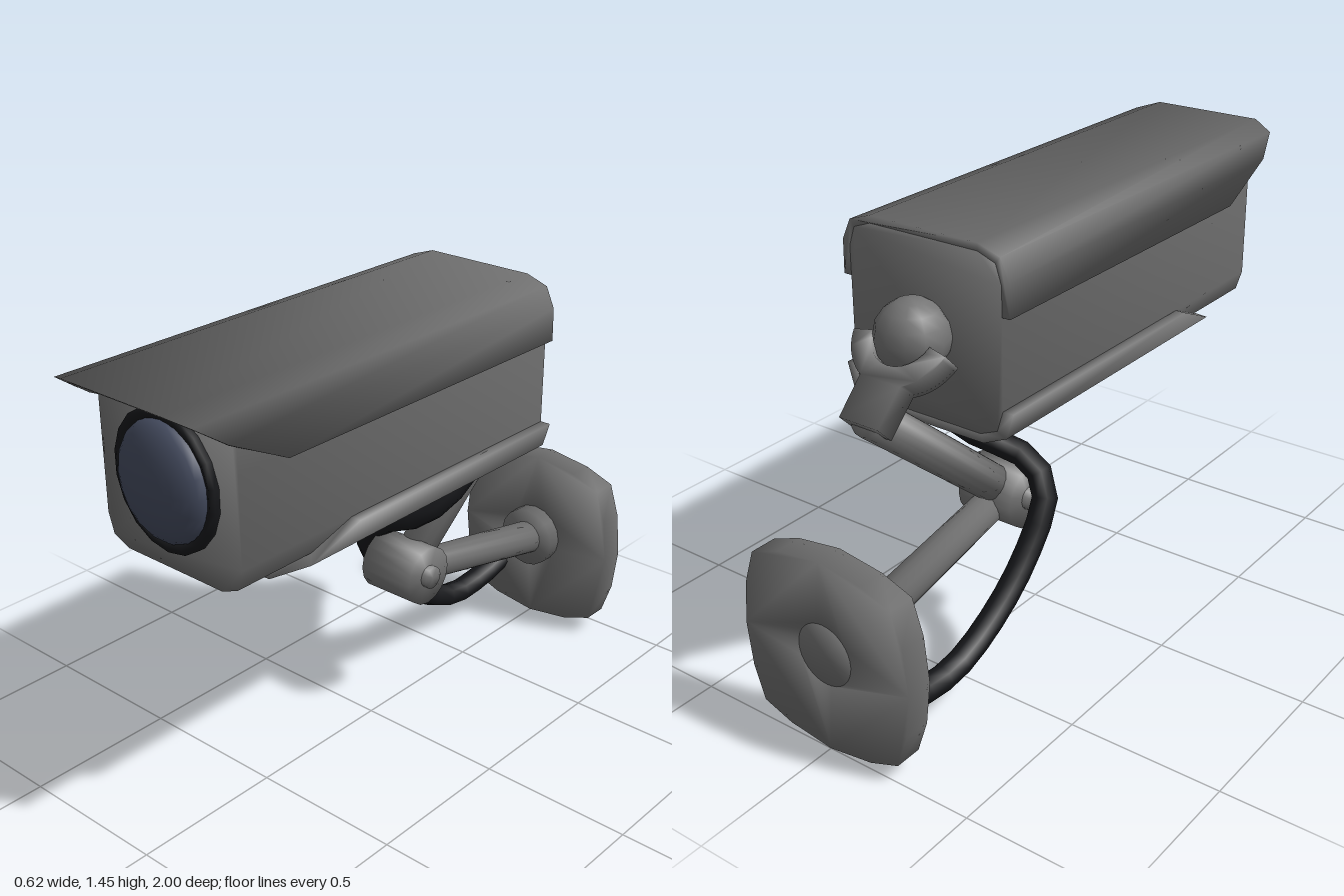
import * as THREE from 'three';

const paint = (color) => new THREE.MeshStandardMaterial({ color, side: THREE.DoubleSide });
const grey = paint(0x757575);
const black = paint(0x17181b);
const blue = paint(0x454c60);

// Smooth normals over all edges, each face weighted by its corner angle
function smooth(geometry) {
  const g = geometry.index ? geometry.toNonIndexed() : geometry;
  const p = g.attributes.position;
  const sums = new Map();
  const at = (i) => new THREE.Vector3().fromBufferAttribute(p, i);
  const key = (v) => v.toArray().map((n) => Math.round(n * 1e4)).join();
  for (let i = 0; i < p.count; i += 3) {
    const tri = [at(i), at(i + 1), at(i + 2)];
    const normal = new THREE.Triangle(...tri).getNormal(new THREE.Vector3());
    tri.forEach((v, k) => {
      const a = tri[(k + 1) % 3].clone().sub(v);
      const b = tri[(k + 2) % 3].clone().sub(v);
      if (!sums.has(key(v))) sums.set(key(v), new THREE.Vector3());
      if (normal.lengthSq() > 0) sums.get(key(v)).addScaledVector(normal, a.angleTo(b));
    });
  }
  for (let i = 0; i < p.count; i++) {
    const n = sums.get(key(at(i))).clone().normalize();
    g.attributes.normal.setXYZ(i, n.x, n.y, n.z);
  }
  return g;
}

export function createModel() {
  const model = new THREE.Group();

  const add = (name, geometry, material = grey) => {
    const mesh = new THREE.Mesh(smooth(geometry), material);
    mesh.name = name;
    model.add(mesh);
    return mesh;
  };

  // Cylinder between two points
  const rod = (name, a, b, r0, r1 = r0, sides = 16) => {
    const from = new THREE.Vector3(...a);
    const dir = new THREE.Vector3(...b).sub(from);
    const mesh = add(name, new THREE.CylinderGeometry(r1, r0, dir.length(), sides));
    mesh.position.copy(from).addScaledVector(dir, 0.5);
    mesh.quaternion.setFromUnitVectors(new THREE.Vector3(0, 1, 0), dir.normalize());
    return mesh;
  };

  // Half outline (right side) mirrored to a full open outline, right to left
  const mirror = (half) => [...half, ...half.map(([x, y]) => [-x, y]).reverse()];
  const shapeOf = (points) => new THREE.Shape(points.map(([x, y]) => new THREE.Vector2(x, y)));

  // Prism along z whose front end is cut by a rule z = frontZ(y)
  const prism = (shape, back, frontZ) => {
    const g = new THREE.ExtrudeGeometry(shape, { depth: 1, bevelEnabled: false, curveSegments: 16 });
    const p = g.attributes.position;
    for (let i = 0; i < p.count; i++) p.setZ(i, p.getZ(i) > 0.5 ? frontZ(p.getY(i)) : back);
    return g;
  };
  const lerp = THREE.MathUtils.mapLinear;

  // Housing
  const roof = [[0.27, 1.25], [0.27, 1.34], [0.25, 1.4], [0.19, 1.422]];
  const floor = [[0.19, 0.88], [0.25, 0.905], [0.27, 0.97]];
  add('housing', prism(shapeOf(mirror([...floor, ...roof])), -0.52, () => 0.82));

  // Sun hood wrapped over the housing, with a raked front
  const hoodOuter = [[0.297, 1.25], [0.295, 1.355], [0.265, 1.42], [0.19, 1.445]];
  add('hood', prism(shapeOf([...mirror(hoodOuter), ...mirror(roof).reverse()]), -0.52,
    (y) => (y > 1.32 ? lerp(y, 1.32, 1.445, 0.82, 1) : lerp(y, 1.25, 1.32, 0.66, 0.82))));

  // Tray wrapped under the housing
  const trayOuter = [[0.305, 0.97], [0.282, 0.89], [0.2, 0.853]];
  const trayInner = [...floor].reverse();
  add('tray', prism(shapeOf([...mirror(trayOuter), ...mirror(trayInner).reverse()]), -0.52,
    (y) => lerp(y, 0.853, 0.97, 0.655, 0.39)));

  // Lens and its rim
  const rimProfile = [[0.17, 0.81], [0.2, 0.81], [0.2, 0.838], [0.185, 0.845], [0.17, 0.838], [0.17, 0.81]];
  const rim = add('lensRim',
    new THREE.LatheGeometry(rimProfile.map(([r, h]) => new THREE.Vector2(r, h)), 18).rotateX(Math.PI / 2), black);
  rim.scale.y = 1.06;
  rim.position.y = 1.152;
  const lens = add('lens', new THREE.SphereGeometry(1, 18, 8, 0, Math.PI * 2, 0, Math.PI / 2).rotateX(Math.PI / 2), blue);
  lens.scale.set(0.172, 0.182, 0.08);
  lens.position.set(0, 1.152, 0.83);

  // Ball joint held by a forked cradle
  add('ball', new THREE.SphereGeometry(0.113, 12, 8)).position.set(0, 1.15, -0.575);
  const tip = 0.2;
  const forkShape = new THREE.Shape();
  forkShape.absarc(0, 0, 0.168, -tip, -1.13, true);
  forkShape.lineTo(0.07, -0.285);
  forkShape.lineTo(-0.07, -0.285);
  forkShape.absarc(0, 0, 0.168, -Math.PI + 1.13, -Math.PI + tip, true);
  forkShape.absarc(0, 0, 0.105, -Math.PI + tip, -tip, false);
  const forkGeometry = new THREE.ExtrudeGeometry(forkShape, { depth: 0.075, bevelEnabled: false, curveSegments: 6 });
  const fork = add('fork', forkGeometry.translate(0, 0, -0.0375));
  fork.position.set(0, 1.147, -0.583);
  fork.rotation.x = Math.PI / 4;

  // Two-part arm with elbow
  rod('upperArm', [0, 0.975, -0.765], [0, 0.485, -0.17], 0.061);
  rod('elbow', [-0.1, 0.485, -0.17], [0.1, 0.485, -0.17], 0.1);
  rod('elbowPin', [-0.12, 0.485, -0.17], [0.12, 0.485, -0.17], 0.038, 0.038, 12);
  rod('lowerArm', [0, 0.475, -0.17], [0, 0.32, -0.89], 0.053, 0.06);

  // Wall plate with bulging sides and a round socket, filled by the collar
  const quarter = [[0.155, 0.022], [0.258, 0.06], [0.294, 0.17]];
  const rightSide = [...quarter, [0.31, 0.315], ...quarter.map(([x, y]) => [x, 0.63 - y]).reverse()];
  const plate = shapeOf([[0, 0], ...rightSide, [0, 0.63], ...rightSide.map(([x, y]) => [-x, y]).reverse()]);
  plate.holes.push(new THREE.Path().absarc(0, 0.325, 0.1, 0, Math.PI * 2, true));
  add('wallPlate', prism(plate, -1, () => -0.912));
  rod('collar', [0, 0.325, -0.862], [0, 0.325, -0.998], 0.108);

  // Cable hanging from the housing to the wall plate
  const cable = [
    [0.13, 0.88, -0.385], [0.11, 0.79, -0.32], [0.07, 0.71, -0.255], [0, 0.655, -0.19],
    [-0.105, 0.615, -0.165], [-0.165, 0.53, -0.175], [-0.172, 0.38, -0.265], [-0.165, 0.23, -0.42],
    [-0.157, 0.13, -0.62], [-0.155, 0.135, -0.8], [-0.155, 0.165, -0.92],
  ].map((p) => new THREE.Vector3(...p));
  add('cable', new THREE.TubeGeometry(new THREE.CatmullRomCurve3(cable), 18, 0.041, 8), black);

  return model;
}
